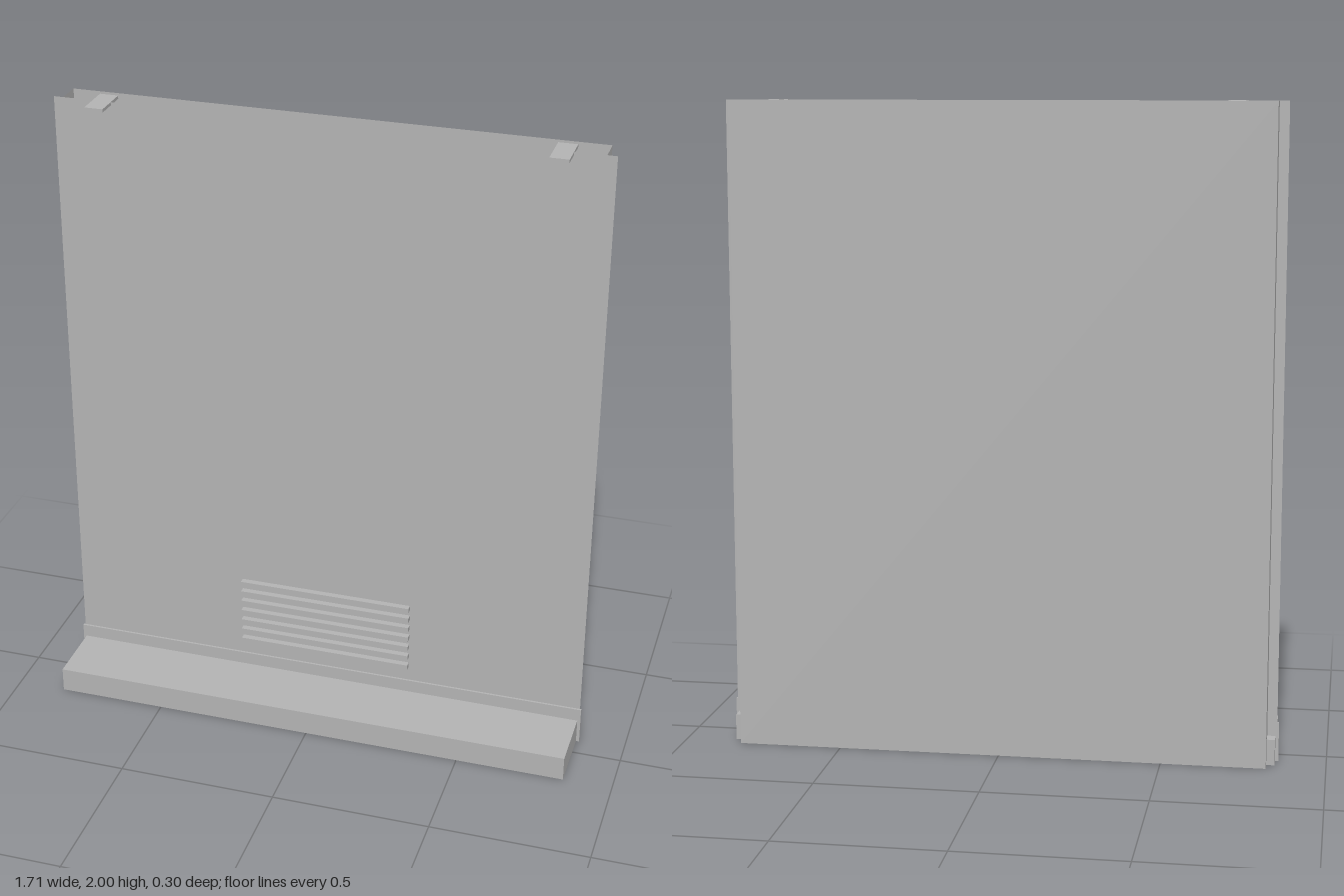
import * as THREE from 'three';

export function createModel() {
  const group = new THREE.Group();
  const grey = new THREE.MeshStandardMaterial({ color: 0xb2b2b2, side: THREE.DoubleSide });
  grey.name = 'sheetGrey';

  const add = (name, geometry, x, y, z) => {
    const mesh = new THREE.Mesh(geometry, grey);
    mesh.name = name;
    mesh.position.set(x, y, z);
    group.add(mesh);
    return mesh;
  };
  // Box given by its full width and its y and z limits
  const box = (name, x, w, y0, y1, z0, z1) =>
    add(name, new THREE.BoxGeometry(w, y1 - y0, z1 - z0), x, (y0 + y1) / 2, (z0 + z1) / 2);

  // Hollow sheet panel, open at the top, with a front sheet wider than the back
  const front = -0.07, back = -0.15, depth = front - back, mid = (front + back) / 2;
  add('frontSheet', new THREE.PlaneGeometry(1.7, 2), 0, 1, front);
  add('backSheet', new THREE.PlaneGeometry(1.64, 2), 0, 1, back).rotation.y = Math.PI;
  add('panelFloor', new THREE.PlaneGeometry(1.64, depth), 0, 0, mid).rotation.x = Math.PI / 2;
  for (const [side, s] of [['left', 1], ['right', -1]]) {
    add(side + 'SideSheet', new THREE.PlaneGeometry(depth, 2), s * 0.82, 1, mid).rotation.y = s * Math.PI / 2;
    // Hanging clip at the top edge
    box(side + 'Clip', s * 0.697, 0.058, 1.99, 2, -0.13, -0.005);
  }

  // Bottom tray and the thin skirt standing on it
  box('tray', 0, 1.69, 0, 0.08, -0.112, 0.15);
  box('skirt', 0, 1.71, 0, 0.122, -0.069, -0.062);

  // Vent slats
  for (let i = 0; i < 7; i++) {
    const y = 0.18 + i * 0.0362;
    box('ventSlat' + (i + 1), 0, 0.565, y - 0.008, y + 0.008, -0.1, -0.05);
  }
  return group;
}
